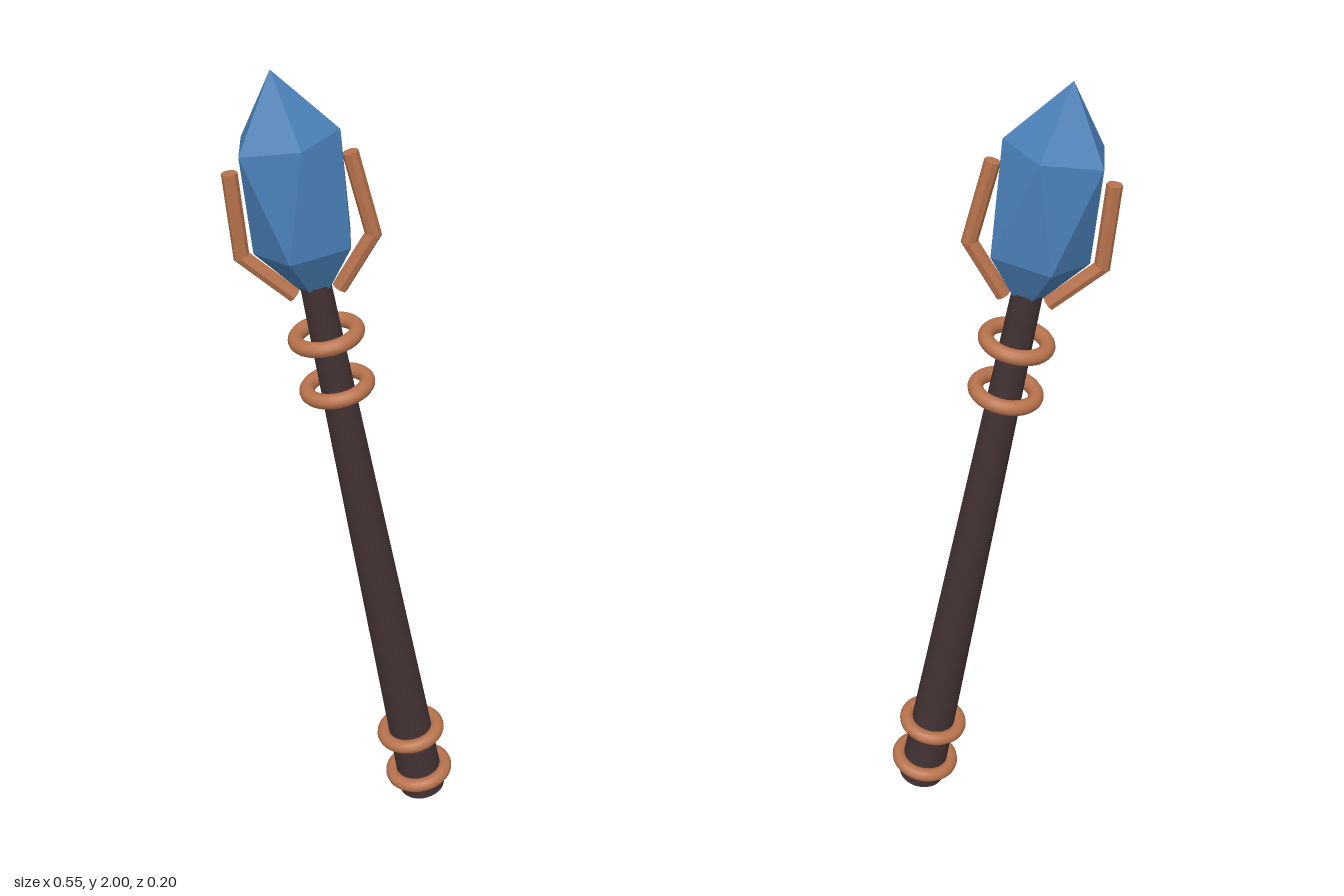
import * as THREE from 'three';

const wood = new THREE.MeshStandardMaterial({ name: 'dark wood', color: 0x433233 });
const copper = new THREE.MeshStandardMaterial({ name: 'copper', color: 0xb8734d });
const copperFacet = copper;
const crystalBlue = new THREE.MeshStandardMaterial({ name: 'crystal blue', color: 0x4a80b8 });

function addMesh(parent, name, geometry, material) {
  const mesh = new THREE.Mesh(geometry, material);
  mesh.name = name;
  parent.add(mesh);
  return mesh;
}

// Bent rod with a mitred joint, swept through points in the xy plane
function bentRod(points, radius, sides) {
  const dirs = points.slice(1).map((p, i) => p.clone().sub(points[i]).normalize());
  const normals = points.map((_, i) => {
    const a = dirs[Math.max(i - 1, 0)];
    const b = dirs[Math.min(i, dirs.length - 1)];
    const t = a.clone().add(b).normalize();
    return new THREE.Vector2(t.y, -t.x).divideScalar(t.dot(a));
  });
  const n = dirs.length;
  const geometry = new THREE.CylinderGeometry(radius, radius, n, sides, n).toNonIndexed();
  const pos = geometry.attributes.position;
  for (let i = 0; i < pos.count; i++) {
    const k = Math.round(pos.getY(i) + n / 2);
    const x = pos.getX(i);
    pos.setXY(i, points[k].x + normals[k].x * x, points[k].y + normals[k].y * x);
  }
  geometry.computeVertexNormals();
  return geometry;
}

export function createModel() {
  const model = new THREE.Group();
  model.name = 'staff';

  // Everything is built upright, then leaned over
  const staff = new THREE.Group();
  staff.name = 'leaningStaff';
  staff.position.set(0.193, 0.0107, 0);
  staff.rotation.z = 0.18;
  model.add(staff);

  // Tapered shaft
  const shaftLength = 1.53;
  addMesh(staff, 'shaft', new THREE.CylinderGeometry(0.035, 0.06, shaftLength, 32), wood)
    .position.y = shaftLength / 2;

  // Loose rings at the foot and the neck
  [0.06, 0.2, 1.265, 1.4].forEach((height, i) => {
    const ring = addMesh(staff, 'ring' + (i + 1), new THREE.TorusGeometry(0.071, 0.018, 14, 40), copper);
    ring.rotation.x = Math.PI / 2;
    ring.position.y = height;
  });

  // Faceted crystal standing on one point
  const gem = new THREE.IcosahedronGeometry(1, 0);
  gem.rotateZ(-Math.atan(2 / (1 + Math.sqrt(5))));
  gem.scale(0.134, 0.275, 0.115);
  addMesh(staff, 'crystal', gem, crystalBlue).position.y = 1.748;

  // Pair of bent prongs holding the crystal
  const path = [[0.051, 1.51], [0.147, 1.624], [0.131, 1.818]].map(p => new THREE.Vector2(...p));
  ['leftProng', 'rightProng'].forEach((name, i) => {
    addMesh(staff, name, bentRod(path, 0.018, 8), copperFacet).rotation.y = i * Math.PI;
  });

  return model;
}
